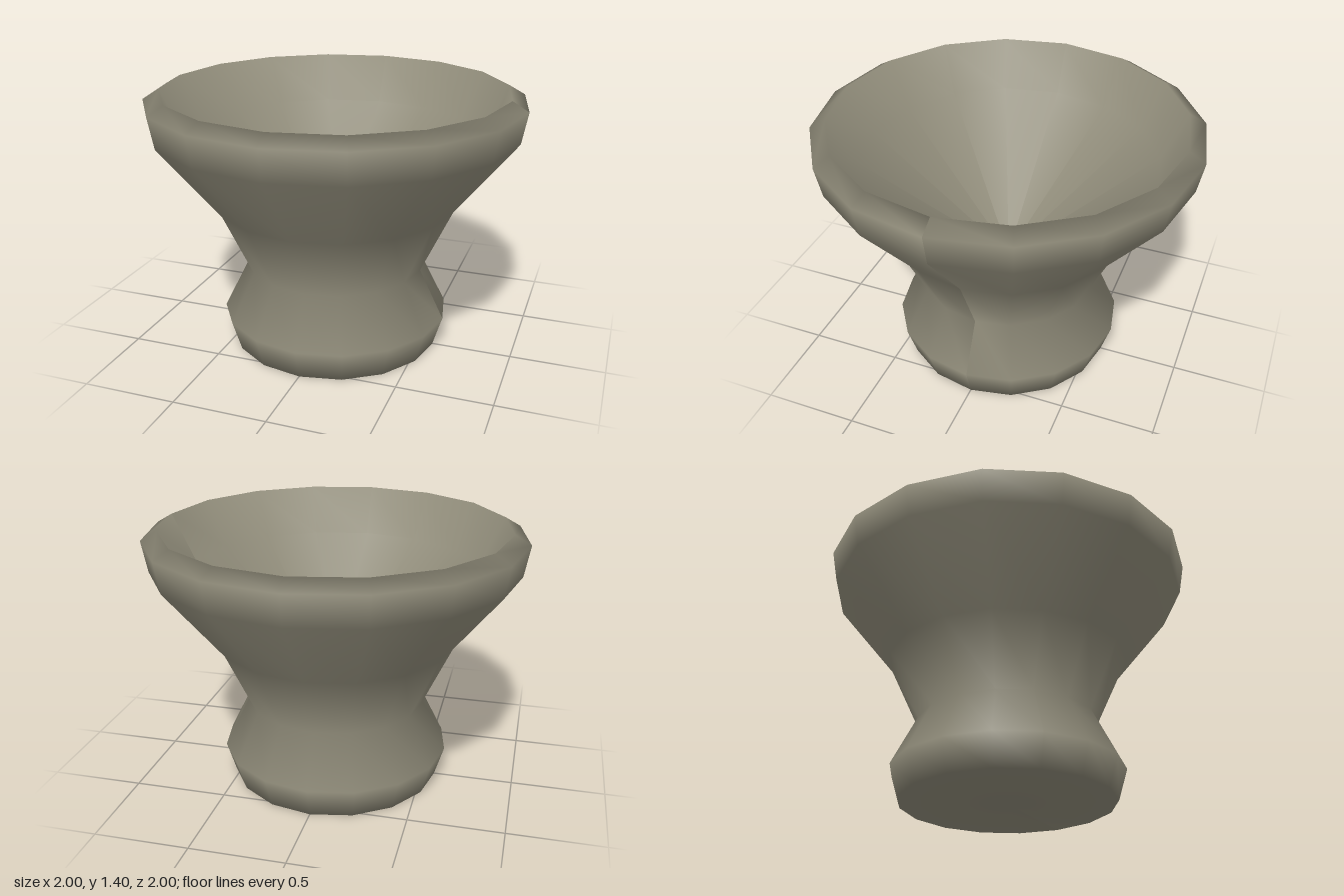
import * as THREE from 'three';

export function createModel() {
  const group = new THREE.Group();
  group.name = 'footedBowl';

  const stone = new THREE.MeshStandardMaterial({ color: 0x8f8b79 });
  stone.name = 'greyStone';

  // Closed profile [radius, height]: underside, foot, waist, flared wall, rim, hollow
  const profile = [
    [0, 0],
    [0.57, 0],
    [0.62, 0.165],
    [0.485, 0.435],
    [0.65, 0.79],
    [0.97, 1.19],
    [1.0, 1.355],
    [0.915, 1.405],
    [0.79, 1.15],
    [0, 0.54],
  ].map(([r, y]) => new THREE.Vector2(r, y));

  // Sixteen-sided turned body, smooth shaded, with its seam on +x
  const geometry = new THREE.LatheGeometry(profile, 16, Math.PI / 2);
  geometry.computeVertexNormals();

  const bowl = new THREE.Mesh(geometry, stone);
  bowl.name = 'bowl';
  group.add(bowl);

  return group;
}
